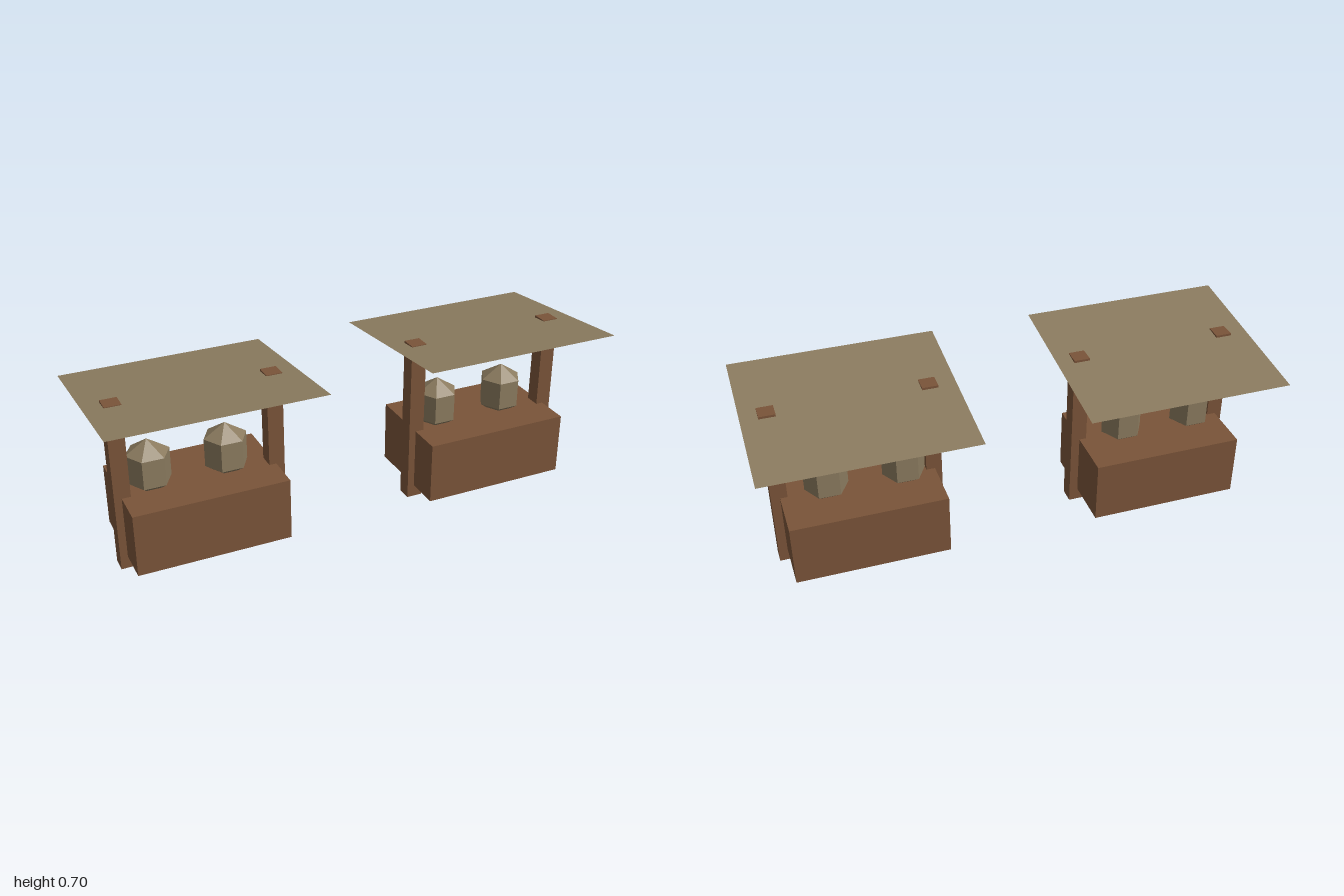
import * as THREE from 'three';

const wood = new THREE.MeshStandardMaterial({ color: 0x7a5439, side: THREE.DoubleSide });
wood.name = 'brown wood';
const cloth = new THREE.MeshStandardMaterial({ color: 0x8b7b5f, side: THREE.DoubleSide, flatShading: true });
cloth.name = 'tan cloth';

// Box standing on y = 0, without its underside
function openBox(w, h, d) {
  const g = new THREE.BoxGeometry(w, h, d);
  const index = Array.from(g.index.array);
  index.splice(18, 6);
  g.setIndex(index);
  g.clearGroups();
  g.translate(0, h / 2, 0);
  return g;
}

function addPart(parent, name, geometry, material, x, y, z) {
  const mesh = new THREE.Mesh(geometry, material);
  mesh.name = name;
  mesh.position.set(x, y, z);
  parent.add(mesh);
  return mesh;
}

// Six-sided sack with a tapered foot and a pointed top
function sackGeometry() {
  const profile = [[0, 0], [0.056, 0], [0.084, 0.02], [0.084, 0.133], [0, 0.188]]
    .map(([r, y]) => new THREE.Vector2(r, y));
  // starts at +z, so turn it to put corners on the x axis
  return new THREE.LatheGeometry(profile, 6).rotateY(Math.PI / 2);
}

function createStall() {
  const stall = new THREE.Group();
  stall.name = 'marketStall';

  // Hollow counter, open underneath
  addPart(stall, 'counter', openBox(0.6, 0.25, 0.4), wood, 0, 0.05, 0);

  // Posts that poke through the awning
  for (const x of [-0.297, 0.303]) {
    addPart(stall, 'post', openBox(0.0625, 0.675, 0.0625), wood, x, 0, 0.0315);
  }

  // Sheet awning, raised at the front
  const sheet = new THREE.PlaneGeometry(0.8, 0.7035).rotateX(-Math.PI / 2 - 0.1);
  addPart(stall, 'awning', sheet, cloth, 0, 0.666, 0);

  // Goods on the counter
  for (const x of [-0.176, 0.123]) {
    addPart(stall, 'sack', sackGeometry(), cloth, x, 0.3, 0);
  }
  return stall;
}

export function createModel() {
  const model = new THREE.Group();
  model.name = 'marketStalls';
  for (const x of [-0.6, 0.6]) {
    const stall = createStall();
    stall.position.x = x;
    model.add(stall);
  }
  return model;
}
